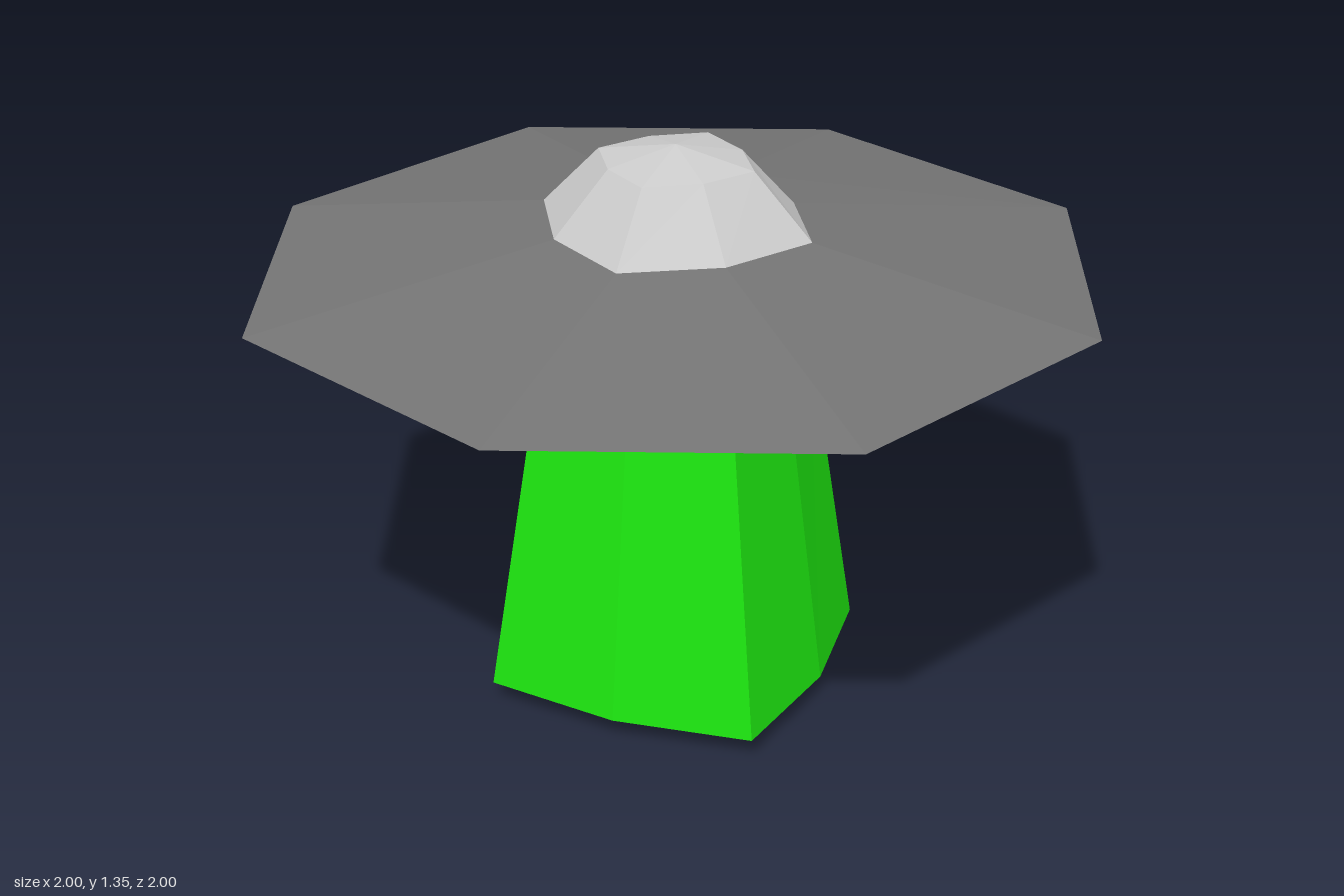
import * as THREE from 'three';

// Eight-sided faceted solid from rings listed bottom to top.
// Each ring is [y, a, d]: corners at (a, 0) on the axes and (d, d) on the diagonals;
// a = 0 closes the end to a point.
function facetedSolid(name, color, rings) {
  const positions = [];
  const corner = ([y, a, d], k) => {
    const angle = (k * Math.PI) / 4;
    const r = k % 2 ? d * Math.SQRT2 : a;
    return [r * Math.sin(angle), y, r * Math.cos(angle)];
  };
  for (let i = 0; i < rings.length - 1; i++) {
    const [low, high] = [rings[i], rings[i + 1]];
    for (let k = 0; k < 8; k++) {
      const a = corner(low, k), b = corner(low, k + 1);
      const c = corner(high, k + 1), d = corner(high, k);
      if (low[1] > 0) positions.push(...a, ...b, ...(high[1] > 0 ? c : d));
      if (high[1] > 0) positions.push(...a, ...c, ...d);
    }
  }
  const geometry = new THREE.BufferGeometry();
  geometry.setAttribute('position', new THREE.Float32BufferAttribute(positions, 3));
  geometry.computeVertexNormals();
  const mesh = new THREE.Mesh(geometry, new THREE.MeshStandardMaterial({ color, flatShading: true }));
  mesh.name = name;
  return mesh;
}

export function createModel() {
  const model = new THREE.Group();
  model.name = 'flyingSaucer';

  // Tapering light beam with a shallow rounded underside
  model.add(facetedSolid('beam', 0x1de510, [
    [0, 0, 0], [0.005, 0.115, 0.1], [0.05, 0.375, 0.33], [0.83, 0.275, 0.24], [0.83, 0, 0],
  ]));

  // Wide disc hull
  model.add(facetedSolid('hull', 0x747474, [
    [0.82, 0, 0], [0.82, 0.27, 0.24], [0.835, 0.4, 0.353],
    [1.04, 1, 0.715], [1.16, 0.33, 0.207], [1.16, 0, 0],
  ]));

  // Cockpit dome
  model.add(facetedSolid('dome', 0xcccccc, [
    [1.16, 0.33, 0.207], [1.308, 0.19, 0.115], [1.345, 0, 0],
  ]));

  return model;
}
